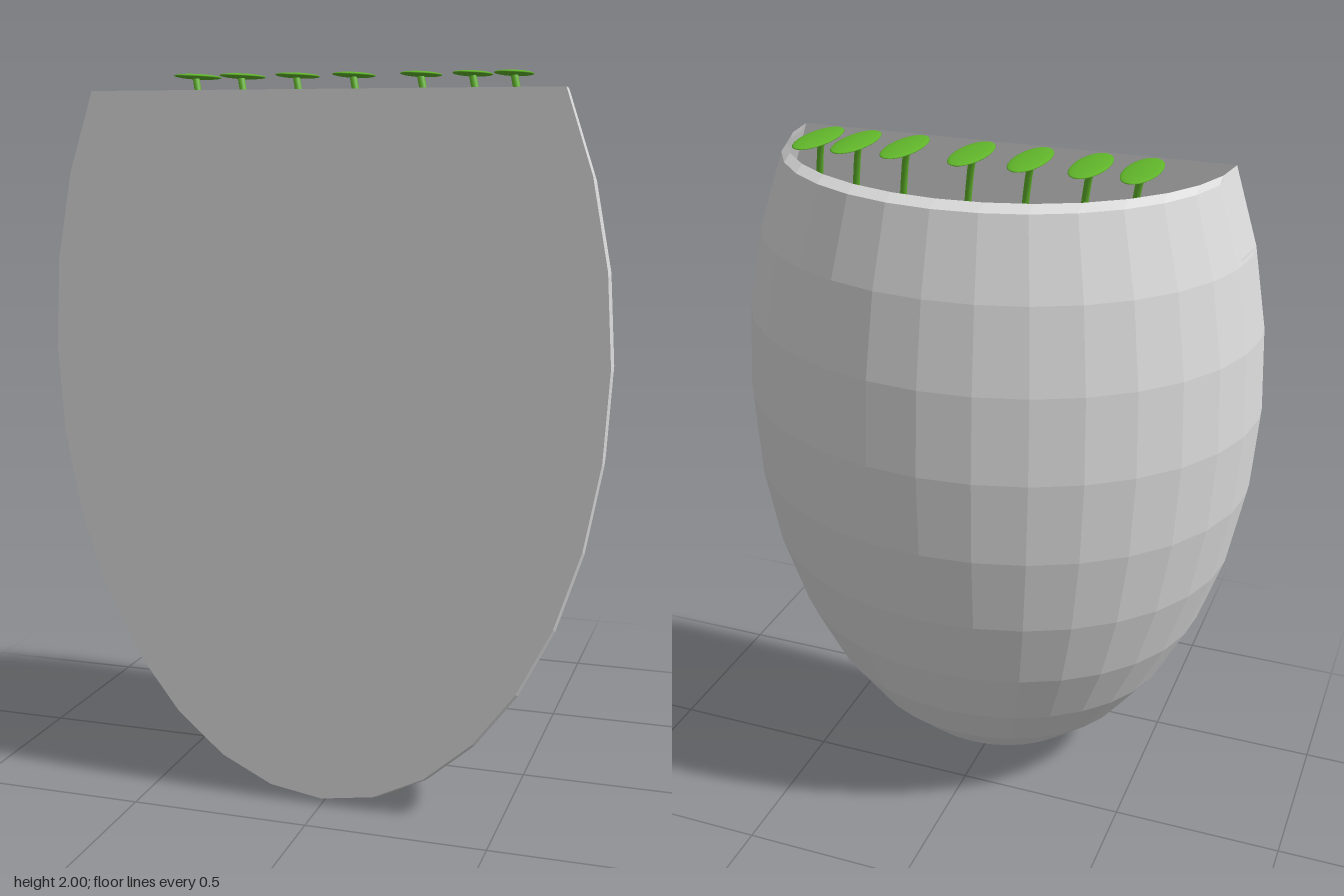
import * as THREE from 'three';

const STEP = Math.PI / 16;  // facet angle in both directions
const FRONT = 0.36;         // z of the flat front
const TOP_RING = 11;        // the egg is cut off at this ring
const SOIL_RING = 5;        // ring with the same outline as the opening
const WALL = new THREE.Vector3(0, -0.016, -0.038);  // inner to outer surface

// One half-ring of the egg's inner surface
function halfRing(k) {
  const r = Math.sin(k * STEP);
  const y = 1.258 - 1.24 * Math.cos(k * STEP);
  const row = [];
  for (let j = 0; j <= 16; j++) {
    row.push(new THREE.Vector3(
      0.765 * r * Math.cos(j * STEP), y, FRONT - 0.685 * r * Math.sin(j * STEP)));
  }
  return row;
}

// Faceted surface joining successive rows of points
function loft(rows) {
  const pos = [];
  const add = (...pts) => pts.forEach(p => pos.push(p.x, p.y, p.z));
  for (let i = 0; i < rows.length - 1; i++) {
    for (let j = 0; j < rows[i].length - 1; j++) {
      const a = rows[i][j], b = rows[i][j + 1], c = rows[i + 1][j], d = rows[i + 1][j + 1];
      if (a.distanceTo(b) > 1e-6) add(a, b, c);
      add(b, d, c);
    }
  }
  const g = new THREE.BufferGeometry();
  g.setAttribute('position', new THREE.Float32BufferAttribute(pos, 3));
  g.computeVertexNormals();
  return g;
}

export function createModel() {
  const model = new THREE.Group();
  const material = (name, color, extra = {}) => {
    const m = new THREE.MeshStandardMaterial({ color, ...extra });
    m.name = name;
    return m;
  };
  const grey = material('potGrey', 0xdbdbdb, { side: THREE.DoubleSide });
  const brown = material('soilBrown', 0x4b3932);
  const green = material('sproutGreen', 0x60b42a);

  const add = (name, geometry, mat, parent = model) => {
    const mesh = new THREE.Mesh(geometry, mat);
    mesh.name = name;
    parent.add(mesh);
    return mesh;
  };

  // Pot: the outer shell is the inner half egg shifted back and down,
  // closed to the front panel along both sides
  const inner = [];
  for (let k = 0; k <= TOP_RING; k++) inner.push(halfRing(k));
  const outer = inner.map(row => row.map(p => p.clone().add(WALL)));
  add('potShell', loft(outer.map((row, k) => [inner[k][0], ...row, inner[k][16]])), grey);
  add('potRim', loft([outer[TOP_RING], inner[TOP_RING]]), grey);
  add('potInnerWall', loft(inner.slice(SOIL_RING).reverse()), grey);

  // Flat front panel
  const right = inner.map(row => new THREE.Vector2(row[0].x, row[0].y));
  const left = right.slice(1).reverse().map(p => new THREE.Vector2(-p.x, p.y));
  const panel = add('potFront', new THREE.ShapeGeometry(new THREE.Shape([...right, ...left])), grey);
  panel.position.z = FRONT;

  // Soil: half ellipse lying inside the pot
  const soilRow = inner[SOIL_RING];
  const soilShape = new THREE.Shape(soilRow.map(p => new THREE.Vector2(p.x, -p.z)));
  const soil = add('soil', new THREE.ShapeGeometry(soilShape), brown);
  soil.rotation.x = -Math.PI / 2;
  soil.position.y = soilRow[0].y;

  // Row of sprouts: a long stem bending at the top under an oval leaf
  const stemPath = new THREE.CatmullRomCurve3([
    new THREE.Vector3(0.062, 0.55, 0.142),
    new THREE.Vector3(0.058, 1.4, 0.138),
    new THREE.Vector3(0.045, 1.75, 0.13),
    new THREE.Vector3(0.022, 1.93, 0.104),
    new THREE.Vector3(0.005, 1.99, 0.083),
  ]);
  const stemGeometry = new THREE.TubeGeometry(stemPath, 24, 0.01, 8);
  const leafGeometry = new THREE.SphereGeometry(1, 24, 12).scale(0.048, 0.007, 0.129);
  for (const x of [-0.457, -0.322, -0.16, 0.003, 0.192, 0.334, 0.446]) {
    const sprout = new THREE.Group();
    sprout.name = 'sprout';
    sprout.position.x = x;
    add('stem', stemGeometry, green, sprout);
    add('leaf', leafGeometry, green, sprout).position.set(0, 1.993, 0.055);
    model.add(sprout);
  }
  return model;
}
